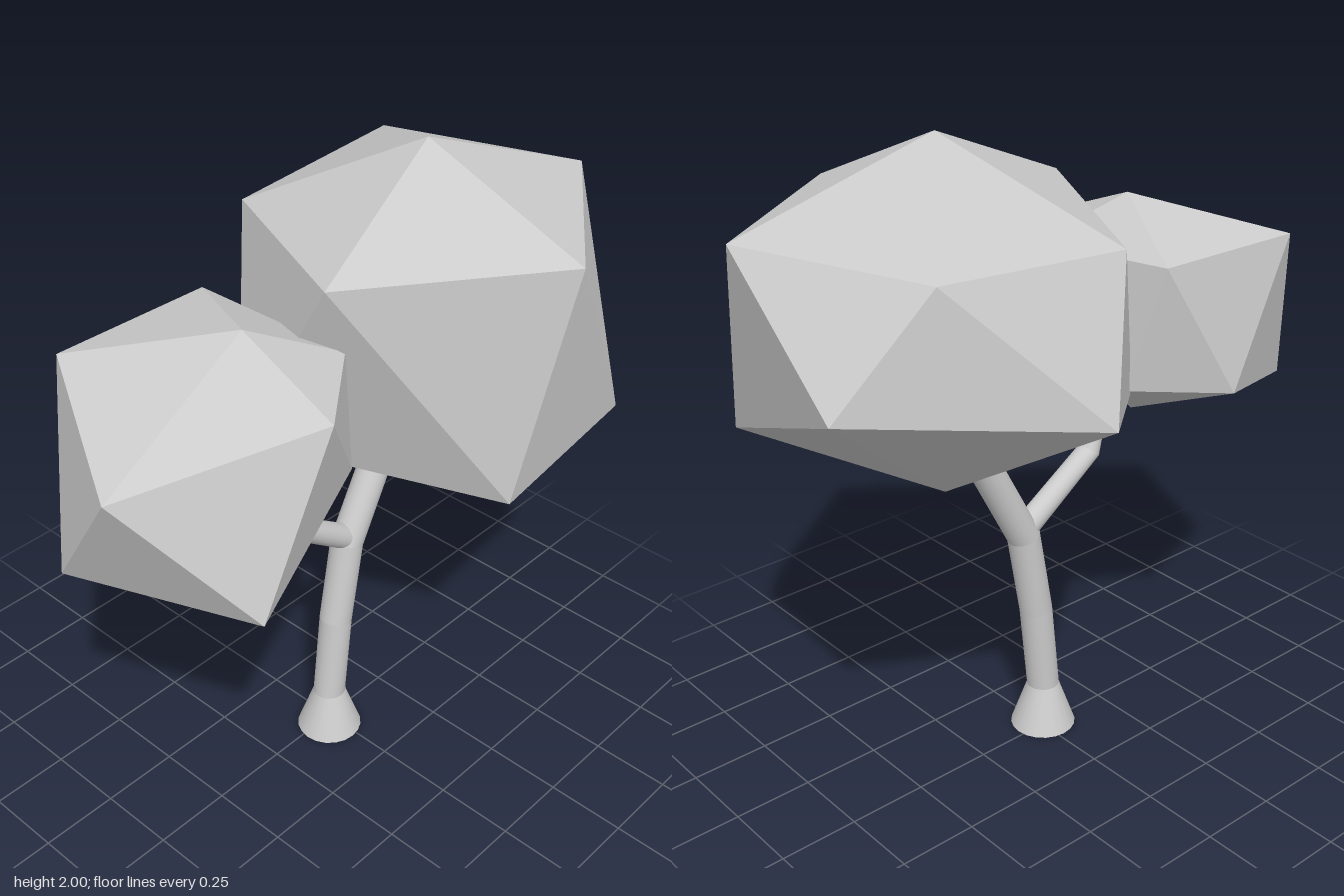
import * as THREE from 'three';

const material = new THREE.MeshStandardMaterial({ color: 0xcccccc });
const facetMaterial = new THREE.MeshStandardMaterial({ color: 0xcccccc, flatShading: true });

// Irregular icosahedron: a top point, two staggered rings of five, a bottom point
function crown(name, top, upper, lower, bottom) {
  const points = [top, ...upper, ...lower, bottom];
  const index = [];
  for (let i = 0; i < 5; i++) {
    const j = (i + 1) % 5;
    const u0 = 1 + i, u1 = 1 + j, l0 = 6 + i, l1 = 6 + j;
    index.push(0, u1, u0, u0, u1, l0, l0, u1, l1, l0, l1, 11);
  }
  const geometry = new THREE.BufferGeometry();
  geometry.setAttribute('position', new THREE.Float32BufferAttribute(points.flat(), 3));
  geometry.setIndex(index);
  const flat = geometry.toNonIndexed();
  flat.computeVertexNormals();
  const mesh = new THREE.Mesh(flat, facetMaterial);
  mesh.name = name;
  return mesh;
}

// Jointed limb in the plane x = X; stations are [y, z, radius]
const X = 0.02;
const SIDES = 20;
function limb(name, stations, levelStart) {
  const rings = stations.map(([y, z, r], k) => {
    const dir = (a, b) => new THREE.Vector2(b[1] - a[1], b[0] - a[0]).normalize();
    const t = new THREE.Vector2();
    if (k > 0) t.add(dir(stations[k - 1], stations[k]));
    if (k < stations.length - 1) t.add(dir(stations[k], stations[k + 1]));
    t.normalize();
    if (k < levelStart) t.set(0, 1);
    return Array.from({ length: SIDES }, (_, i) => {
      const a = (i / SIDES) * Math.PI * 2;
      const s = Math.sin(a) * r;
      return [X + Math.cos(a) * r, y - s * t.x, z + s * t.y];
    });
  });
  const positions = [], index = [];
  // each segment owns its rings, so joints stay crisp
  for (let k = 0; k < rings.length - 1; k++) {
    const base = positions.length / 3;
    positions.push(...rings[k].flat(), ...rings[k + 1].flat());
    for (let i = 0; i < SIDES; i++) {
      const j = (i + 1) % SIDES;
      const a = base + i, b = base + j, c = a + SIDES, d = b + SIDES;
      index.push(a, c, b, b, c, d);
    }
  }
  // end caps
  [0, rings.length - 1].forEach((k) => {
    const base = positions.length / 3;
    positions.push(...rings[k].flat());
    for (let i = 1; i < SIDES - 1; i++) {
      index.push(base, ...(k === 0 ? [base + i, base + i + 1] : [base + i + 1, base + i]));
    }
  });
  const geometry = new THREE.BufferGeometry();
  geometry.setAttribute('position', new THREE.Float32BufferAttribute(positions, 3));
  geometry.setIndex(index);
  geometry.computeVertexNormals();
  const mesh = new THREE.Mesh(geometry, material);
  mesh.name = name;
  return mesh;
}

export function createModel() {
  const tree = new THREE.Group();
  tree.name = 'tree';

  // flared base, gently bent trunk running up into the large crown
  tree.add(limb('trunk', [
    [0, 0.02, 0.105], [0.15, 0.02, 0.052], [0.44, -0.01, 0.052],
    [0.72, -0.06, 0.052], [1.02, -0.22, 0.05], [1.15, -0.29, 0.045],
  ], 2));

  // side branch with a tapering tip under the small crown
  tree.add(limb('branch', [
    [0.745, -0.05, 0.04], [0.925, 0.21, 0.036], [1.1, 0.285, 0.011],
  ], 0));

  tree.add(crown('largeCrown',
    [0.08, 2.0, -0.31],
    [[0.61, 1.78, -0.33], [0.2, 1.78, 0.23], [-0.41, 1.74, -0.07], [-0.41, 1.78, -0.69], [0.2, 1.78, -0.89]],
    [[0.53, 1.05, -0.19], [-0.14, 1.17, 0.23], [-0.61, 1.35, -0.28], [-0.33, 1.47, -0.96], [0.51, 1.12, -0.74]],
    [0.08, 0.93, -0.31]));

  tree.add(crown('smallCrown',
    [0.08, 1.7, 0.41],
    [[0.42, 1.57, 0.43], [0.14, 1.46, 0.95], [-0.31, 1.6, 0.71], [-0.3, 1.6, 0.2], [0.2, 1.57, 0.15]],
    [[0.41, 1.07, 0.68], [-0.15, 1.06, 0.89], [-0.37, 1.18, 0.43], [-0.21, 1.22, 0.13], [0.3, 1.28, 0.23]],
    [0.08, 0.98, 0.45]));

  return tree;
}
